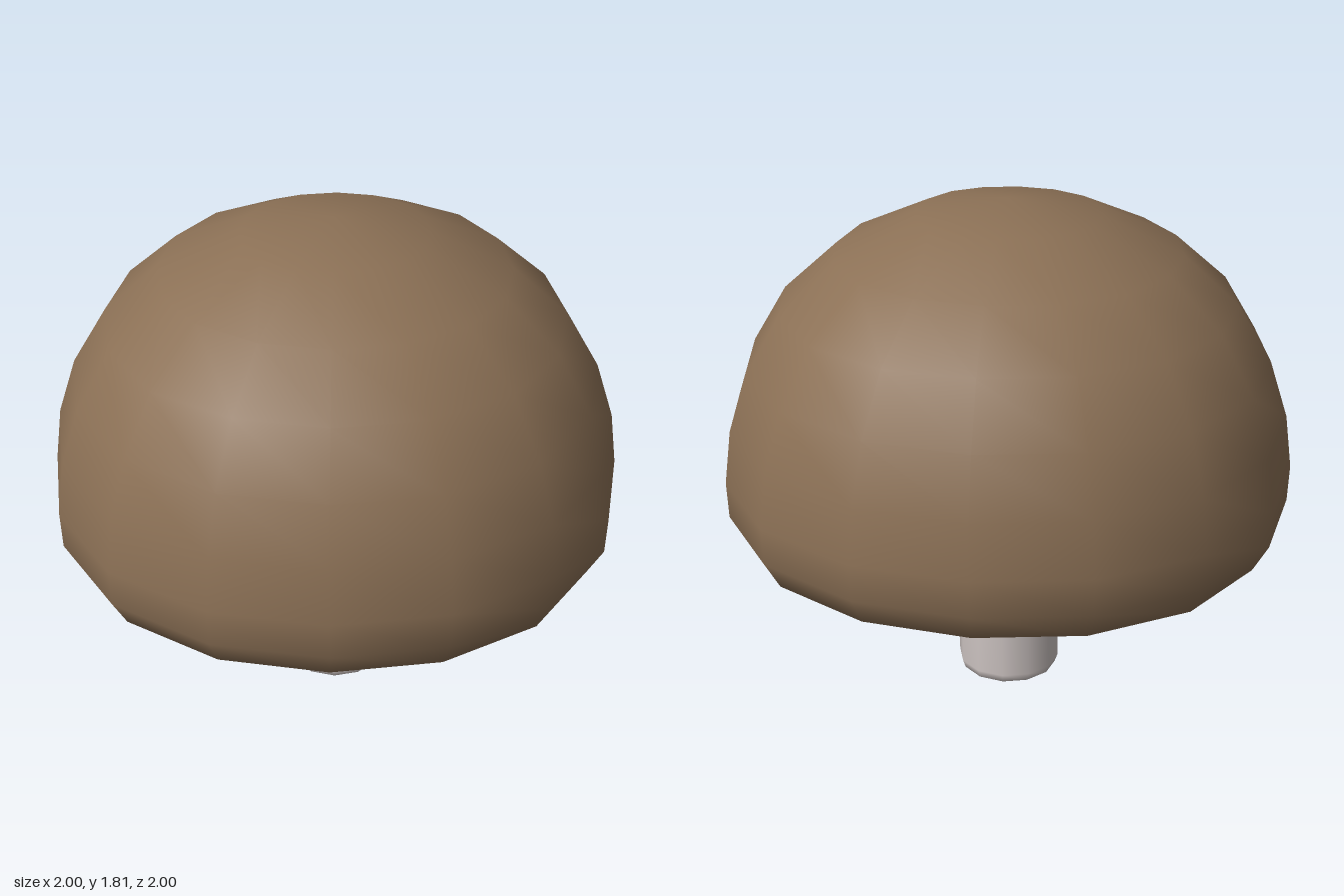
import * as THREE from 'three';
import { mergeVertices } from 'three/addons/utils/BufferGeometryUtils.js';

// Smooth lathe from [radius, height] pairs, slightly squared on the diagonals
function turned(points, sides, square = 0) {
  const geo = new THREE.LatheGeometry(points.map(([r, y]) => new THREE.Vector2(r, y)), sides);
  geo.deleteAttribute('uv');
  geo.deleteAttribute('normal');
  const pos = geo.attributes.position;
  for (let i = 0; i < pos.count; i++) {
    const x = pos.getX(i), z = pos.getZ(i);
    const k = 1 + square * Math.sin(2 * Math.atan2(z, x)) ** 2;
    pos.setXYZ(i, x * k, pos.getY(i), z * k);
  }
  const merged = mergeVertices(geo, 1e-4);
  merged.computeVertexNormals();
  return merged;
}

export function createModel() {
  const group = new THREE.Group();
  const brown = new THREE.MeshStandardMaterial({ color: 0x8b7055 });
  brown.name = 'cap brown';
  const pale = new THREE.MeshStandardMaterial({ color: 0xcdc4c2 });
  pale.name = 'stem pale grey';

  const add = (name, geo, mat) => {
    const mesh = new THREE.Mesh(geo, mat);
    mesh.name = name;
    group.add(mesh);
  };

  // Domed cap with a rolled rim and a shallow hollow around the stem
  add('cap', turned([
    [0, 0.62], [0.18, 0.61], [0.36, 0.57], [0.63, 0.555], [0.82, 0.58], [0.94, 0.64],
    [0.995, 0.74], [1, 0.87], [0.975, 1.06], [0.91, 1.26], [0.79, 1.46],
    [0.6, 1.63], [0.32, 1.76], [0, 1.81],
  ], 16, 0.025), brown);

  // Stem with a softened lower edge
  add('stem', turned([
    [0.155, 0.008], [0.175, 0.02], [0.185, 0.05], [0.185, 0.3], [0.185, 0.66],
  ], 12), pale);

  // Cut end of the stem
  add('stemBase', turned([[0, 0], [0.135, 0], [0.155, 0.008]], 12), brown);

  return group;
}
